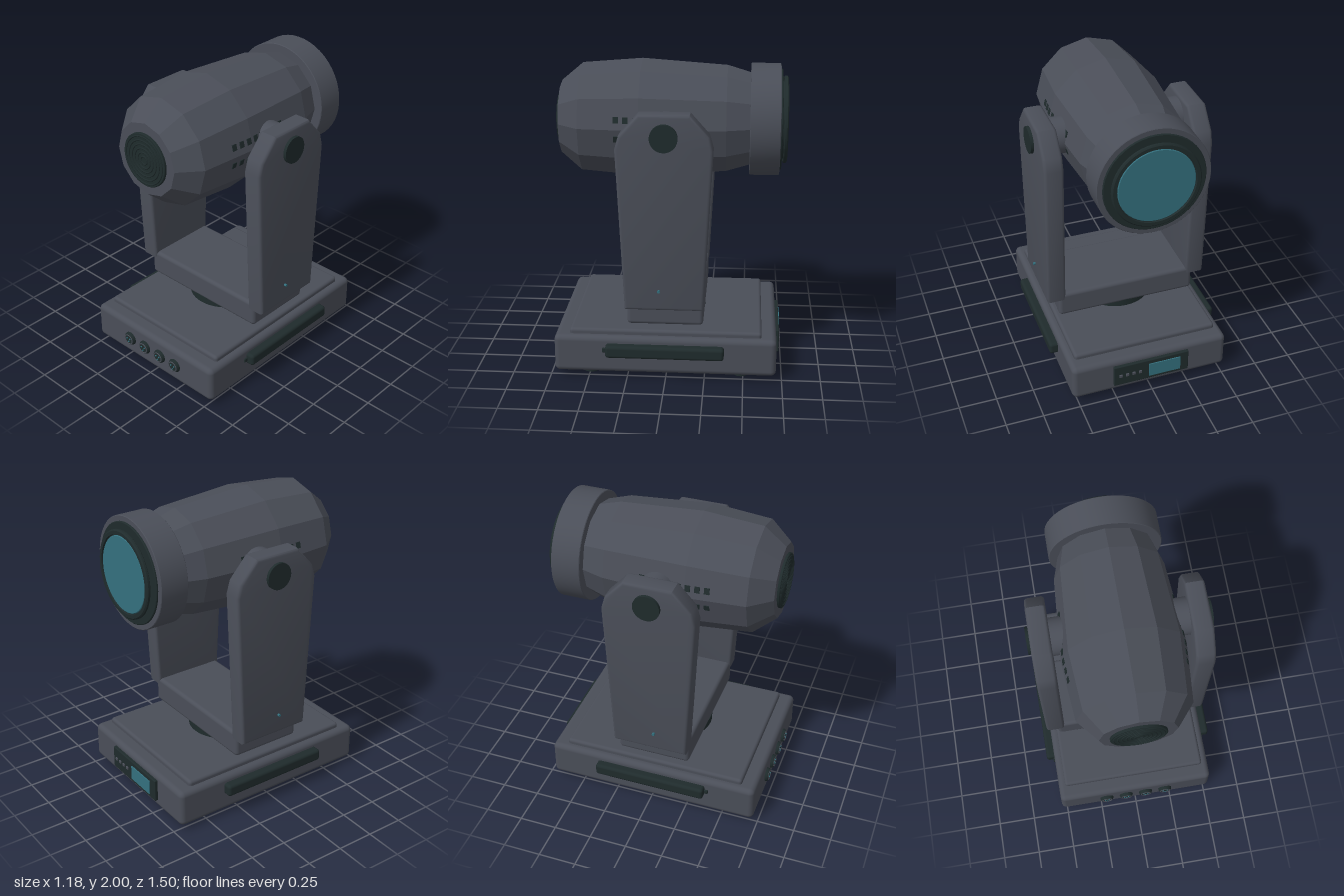
import * as THREE from 'three';
import { toCreasedNormals } from 'three/addons/utils/BufferGeometryUtils.js';
import { RoundedBoxGeometry } from 'three/addons/geometries/RoundedBoxGeometry.js';

export function createModel() {
  const model = new THREE.Group();
  const mat = (name, color) => {
    const m = new THREE.MeshStandardMaterial({ color });
    m.name = name;
    return m;
  };
  const grey = mat('housing grey', 0x4a4e58);
  const dark = mat('dark trim', 0x1f2b2c);
  const teal = mat('teal glass', 0x34707e);

  const add = (name, geo, material, x = 0, y = 0, z = 0, parent = model) => {
    const m = new THREE.Mesh(geo, material);
    m.name = name;
    m.position.set(x, y, z);
    parent.add(m);
    return m;
  };
  const rbox = (w, h, d, r) => new RoundedBoxGeometry(w, h, d, 3, r);
  // lathe around the z axis; profile is [radius, z] with z rising
  const latheZ = (profile, sides, crease = 0.6) => {
    const g = new THREE.LatheGeometry(profile.map(([r, z]) => new THREE.Vector2(r, z)), sides);
    g.rotateX(Math.PI / 2);
    return toCreasedNormals(g, crease);
  };
  const discZ = (r, z0, z1, c = 0.004) =>
    latheZ([[0, z0], [r - c, z0], [r, z0 + c], [r, z1 - c], [r - c, z1], [0, z1]], 48);
  const cylX = (r, len, sides = 40) => new THREE.CylinderGeometry(r, r, len, sides).rotateZ(Math.PI / 2);

  // Base
  add('base', rbox(1.07, 0.25, 1.435, 0.035), grey, 0, 0.16, 0.005);
  add('basePlate', rbox(0.98, 0.08, 1.24, 0.02), grey, 0, 0.28, 0.005);
  for (const x of [-0.41, 0.41]) for (const z of [-0.485, 0.497])
    add('foot', new THREE.CylinderGeometry(0.05, 0.05, 0.05, 24), dark, x, 0.025, z);

  // Front sockets with three pins each
  for (let i = 0; i < 4; i++) {
    const socket = new THREE.Group();
    socket.name = 'socket';
    socket.position.set(-0.21 + i * 0.14, 0.164, 0.72);
    model.add(socket);
    add('socketBody', latheZ([[0.047, -0.01], [0.047, 0.01], [0.04, 0.024], [0, 0.024]], 28), dark, 0, 0, 0, socket);
    add('socketRing', new THREE.TorusGeometry(0.034, 0.004, 8, 28), grey, 0, 0, 0.024, socket);
    for (let p = 0; p < 3; p++) {
      const a = Math.PI / 6 + p * Math.PI * 2 / 3;
      add('pin', new THREE.CylinderGeometry(0.005, 0.005, 0.008, 10).rotateX(Math.PI / 2), teal,
        0.016 * Math.cos(a), 0.016 * Math.sin(a), 0.025, socket);
    }
  }

  // Rear control panel
  add('controlPanel', rbox(0.52, 0.155, 0.03, 0.006), dark, 0, 0.167, -0.719);
  add('screen', new THREE.BoxGeometry(0.22, 0.1, 0.008), teal, -0.09, 0.165, -0.737);
  for (let i = 0; i < 4; i++)
    add('button', rbox(0.022, 0.022, 0.012, 0.004), grey, 0.215 - i * 0.045, 0.167, -0.736);

  // Turntable and yoke cross beam
  add('turntable', new THREE.CylinderGeometry(0.245, 0.245, 0.06, 48), dark, 0, 0.34, 0.008);
  add('yokeBeam', rbox(0.95, 0.175, 0.49, 0.025), grey, 0, 0.4425, 0.006);

  // Yoke arm outline in z, y
  const outline = [[0.25, 0.487], [0.302, 1.53], [0.278, 1.615], [0.158, 1.75]];
  const full = [...outline, ...outline.slice().reverse().map(([z, y]) => [-z, y])];
  const armShape = new THREE.Shape(full.map(([z, y]) => new THREE.Vector2(z + 0.008, y)));
  const bevel = 0.02;
  const armGeo = toCreasedNormals(new THREE.ExtrudeGeometry(armShape, {
    depth: 0.127 - 2 * bevel, bevelEnabled: true, bevelSize: bevel,
    bevelThickness: bevel, bevelOffset: -bevel, bevelSegments: 3,
  }).translate(0, 0, -0.0635 + bevel).rotateY(-Math.PI / 2), 0.6);

  for (const s of [-1, 1]) {
    add('yokeArm', armGeo, grey, s * 0.4915, 0, 0);
    add('pivot', cylX(0.119, 0.18), grey, s * 0.36, 1.61, 0.006);
    add('pivotCap', cylX(0.087, 0.03), dark, s * 0.56, 1.61, 0.008);
    add('indicator', cylX(0.009, 0.03, 12), teal, s * 0.556, 0.62, 0.04);
    add('handle', rbox(0.08, 0.082, 0.762, 0.02), dark, s * 0.55, 0.2, 0.005);
    add('handleLatch', rbox(0.03, 0.03, 0.04, 0.006), dark, s * 0.53, 0.195, 0.39);
  }

  // Faceted head
  const head = new THREE.Group();
  head.name = 'head';
  head.position.y = 1.611;
  model.add(head);
  const hull = [[0.3, -0.53], [0.35, -0.365], [0.389, 0.18], [0.357, 0.565], [0.24, 0.705]];
  add('headShell', latheZ([[0, -0.53], ...hull, [0, 0.705]], 12, 0.01), grey, 0, 0, 0, head);

  // Round front grille
  add('grille', discZ(0.175, 0.69, 0.722), dark, 0, 0, 0, head);
  for (let i = 1; i <= 6; i++)
    add('grilleRing', new THREE.TorusGeometry(i * 0.026, 0.005, 8, 40), dark, 0, 0, 0.722, head);

  // Side vents lying on the facets beside the horizontal centre line
  const hullRadius = (z) => z > 0.18
    ? 0.389 - (z - 0.18) * 0.032 / 0.385
    : 0.389 - (0.18 - z) * 0.039 / 0.545;
  for (const s of [-1, 1]) for (const v of [-1, 1])
    for (let i = 0; i < 8; i++) {
      const z = 0.32 - i * 0.06;
      const x = hullRadius(z) - 0.06 * Math.tan(Math.PI / 12);
      const vent = add('vent', new THREE.BoxGeometry(0.008, 0.04, 0.034), dark, s * x, v * 0.06, z, head);
      vent.rotation.z = s * v * Math.PI / 12;
    }

  // Lens barrel at the back
  add('lensBarrel', discZ(0.361, -0.704, -0.513), grey, 0, 0, 0, head);
  add('lensSeat', discZ(0.325, -0.716, -0.69), dark, 0, 0, 0, head);
  add('lensCollar', discZ(0.255, -0.74, -0.7), dark, 0, 0, 0, head);
  add('lensRim', latheZ([[0.25, -0.74], [0.252, -0.752], [0.274, -0.752], [0.282, -0.745],
    [0.282, -0.732], [0.275, -0.726], [0.25, -0.726]], 56), dark, 0, 0, 0, head);
  add('lens', discZ(0.245, -0.748, -0.72), teal, 0, 0, 0, head);

  return model;
}
